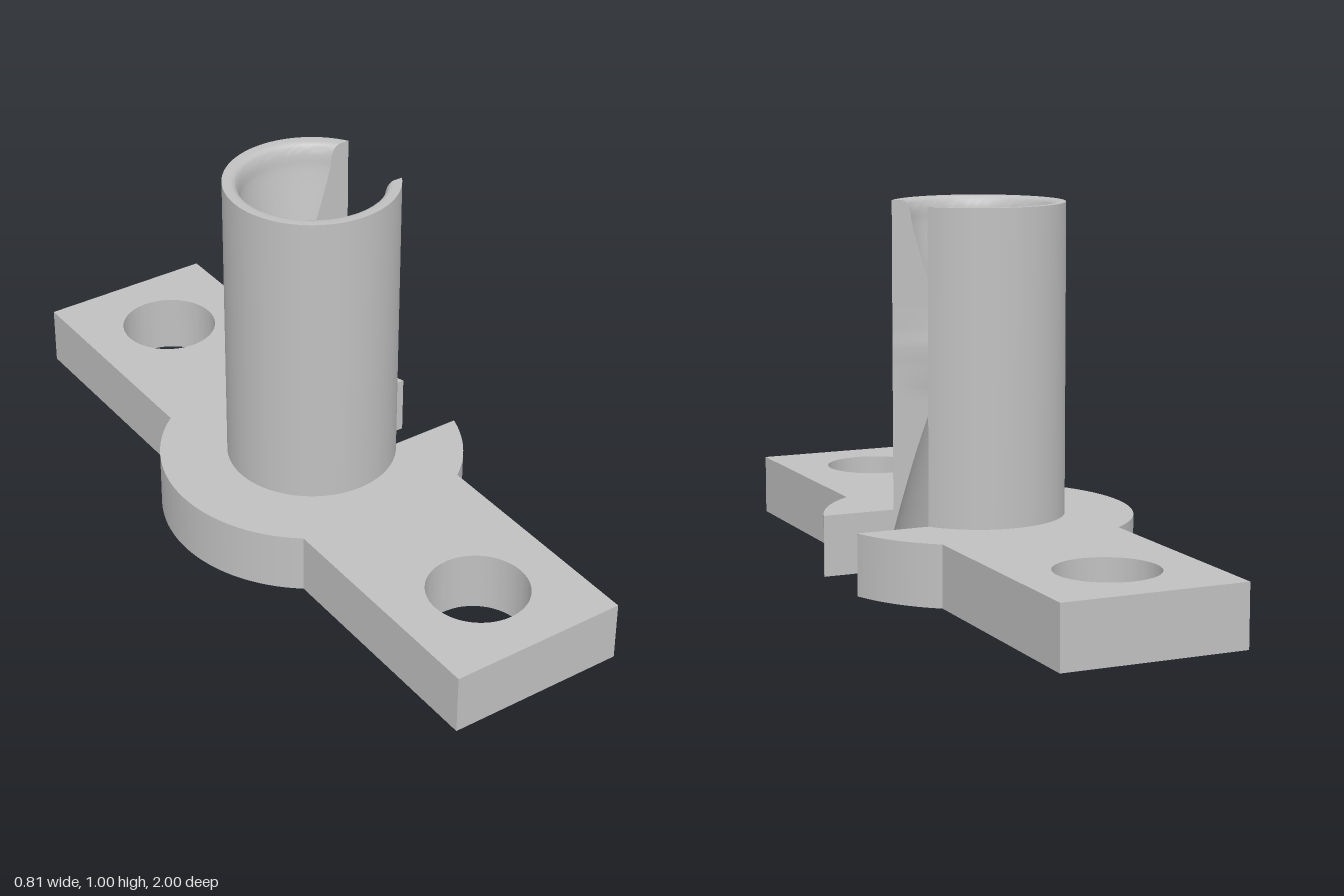
import * as THREE from 'three';
import { toCreasedNormals } from 'three/addons/utils/BufferGeometryUtils.js';

const SLOT = 0.12;        // half width of the slot
const BASE_H = 0.166;     // flange thickness
const DISC_R = 0.415;     // round centre of the flange
const BAR = 0.25;         // half width of the flange bar
const TUBE_R = 0.231;     // outer radius of the tube
const BORE_LOW = 0.258;   // bore radius at the underside
const BORE_MID = 0.216;   // bore radius at the flange top

// Angle at which a circle of radius r meets the slot wall
const slotAngle = (r) => Math.asin(Math.min(1, SLOT / r));

// Flat flange: bar with a round middle, two bolt holes, slot and tapered bore
function flangeGeometry() {
  const corner = Math.acos(BAR / DISC_R);
  const cut = slotAngle(DISC_R);
  const low = slotAngle(BORE_LOW);
  const mid = slotAngle(BORE_MID);

  const s = new THREE.Shape();
  s.absarc(0, 0, DISC_R, cut, corner, false);
  s.lineTo(BAR, 1);
  s.lineTo(-BAR, 1);
  s.absarc(0, 0, DISC_R, Math.PI - corner, Math.PI + corner, false);
  s.lineTo(-BAR, -1);
  s.lineTo(BAR, -1);
  s.absarc(0, 0, DISC_R, -corner, -cut, false);
  s.absarc(0, 0, BORE_LOW, -low, low, true);
  s.closePath();
  for (const y of [-0.75, 0.75]) {
    s.holes.push(new THREE.Path().absarc(0, y, 0.135, 0, Math.PI * 2, true));
  }
  const g = new THREE.ExtrudeGeometry(s, { depth: BASE_H, bevelEnabled: false, curveSegments: 48 });
  g.rotateX(-Math.PI / 2);

  // Taper the bore: pull its upper edge in to the smaller radius
  const p = g.attributes.position;
  for (let i = 0; i < p.count; i++) {
    const x = p.getX(i), z = p.getZ(i);
    if (p.getY(i) < BASE_H / 2 || Math.abs(Math.hypot(x, z) - BORE_LOW) > 1e-3) continue;
    const t = Math.atan2(z, x);
    const a = Math.PI - (Math.PI - Math.abs(t)) * (Math.PI - mid) / (Math.PI - low);
    p.setX(i, BORE_MID * Math.cos(a));
    p.setZ(i, Math.sign(t) * BORE_MID * Math.sin(a));
  }
  return toCreasedNormals(g, 0.5);
}

// Slotted tube with an hourglass bore, swept around the open arc
function tubeGeometry() {
  const bore = new THREE.SplineCurve([
    [BORE_MID, BASE_H], [0.182, 0.3], [0.149, 0.43], [0.128, 0.51], [0.117, 0.57], [0.115, 0.61],
    [0.125, 0.66], [0.152, 0.785], [0.181, 0.92], [0.186, 0.955],
  ].map(([r, y]) => new THREE.Vector2(r, y))).getPoints(36);
  // Rounded lip at the mouth
  const lip = new THREE.QuadraticBezierCurve(
    new THREE.Vector2(0.186, 0.955), new THREE.Vector2(0.19, 1), new THREE.Vector2(0.21, 1),
  ).getPoints(6).slice(1);
  const inner = [...bore, ...lip];
  const rows = [...inner, new THREE.Vector2(TUBE_R, 1), new THREE.Vector2(TUBE_R, BASE_H)];

  const N = 72;
  const point = (q, j) => {
    const a = slotAngle(q.x);
    const t = a + (2 * Math.PI - 2 * a) * j / N;
    return [q.x * Math.cos(t), q.y, q.x * Math.sin(t)];
  };
  const v = [];
  const quad = (a, b, c, d) => v.push(...a, ...b, ...c, ...a, ...c, ...d);

  for (let i = 0; i < rows.length - 1; i++) {
    for (let j = 0; j < N; j++) {
      quad(point(rows[i], j), point(rows[i], j + 1), point(rows[i + 1], j + 1), point(rows[i + 1], j));
    }
  }
  // Flat walls on both sides of the slot
  for (let i = 0; i < inner.length - 1; i++) {
    const o0 = new THREE.Vector2(TUBE_R, inner[i].y);
    const o1 = new THREE.Vector2(TUBE_R, inner[i + 1].y);
    quad(point(inner[i], 0), point(inner[i + 1], 0), point(o1, 0), point(o0, 0));
    quad(point(inner[i], N), point(o0, N), point(o1, N), point(inner[i + 1], N));
  }
  const g = new THREE.BufferGeometry();
  g.setAttribute('position', new THREE.Float32BufferAttribute(v, 3));
  return toCreasedNormals(g, 0.5);
}

export function createModel() {
  const grey = new THREE.MeshStandardMaterial({ color: 0xc0c0c0 });
  grey.name = 'grey';

  const model = new THREE.Group();
  model.name = 'slottedTubeMount';
  const add = (name, geometry) => {
    const mesh = new THREE.Mesh(geometry, grey);
    mesh.name = name;
    mesh.position.x = 0.005;
    model.add(mesh);
  };
  add('flange', flangeGeometry());
  add('slottedTube', tubeGeometry());
  return model;
}
